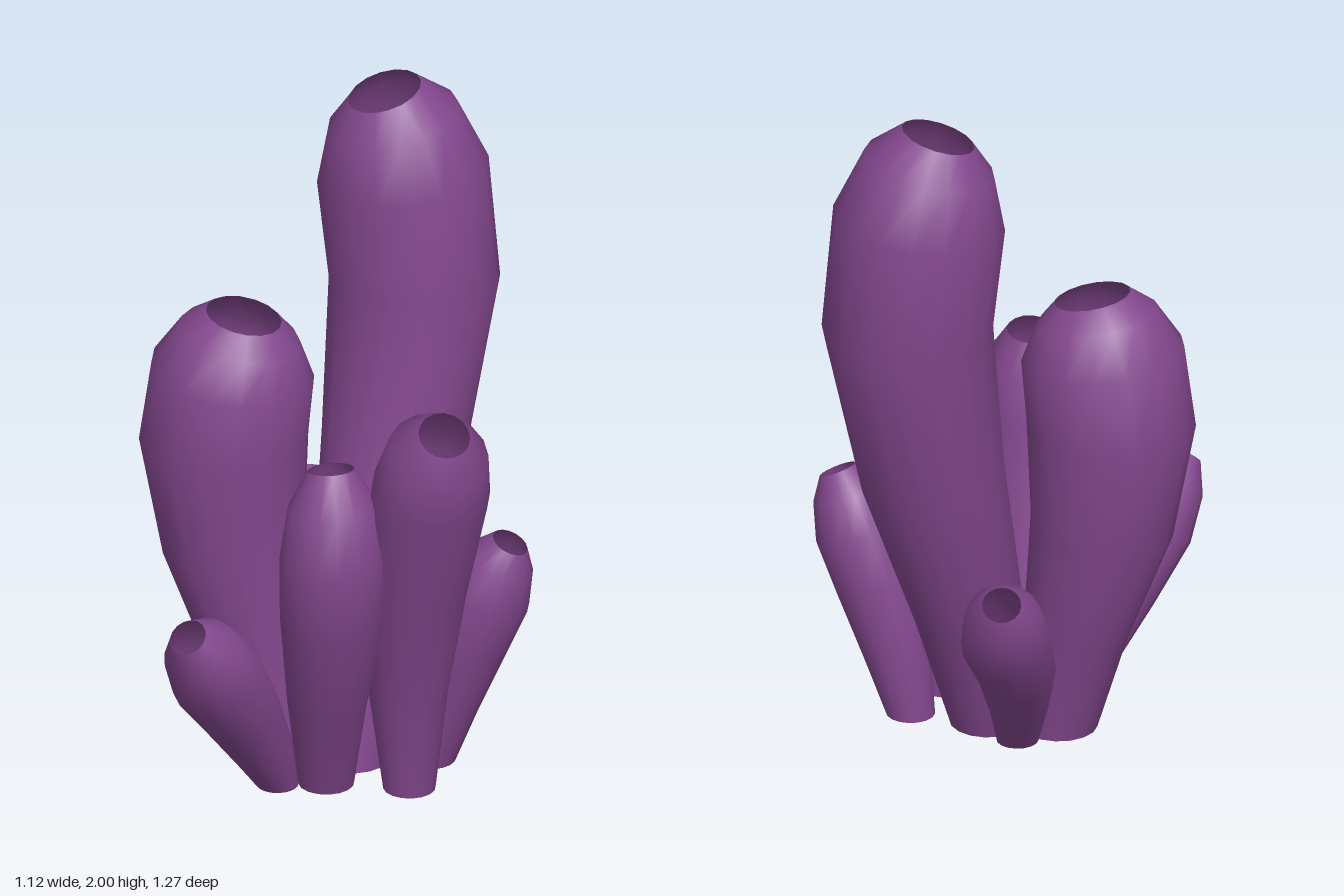
import * as THREE from 'three';

const SIDES = 16;
const material = new THREE.MeshStandardMaterial({ color: 0x84488f, side: THREE.DoubleSide });

// Each tube is a list of rings [x, y, z, radius] from the base to the open mouth.
const TUBES = {
  tallBackTube: [
    [0.04, 0, -0.05, 0.11], [0.05, 0.42, -0.16, 0.16], [0.09, 0.9, -0.305, 0.21],
    [0.125, 1.38, -0.385, 0.245], [0.095, 1.72, -0.37, 0.247], [0.07, 1.89, -0.355, 0.19],
    [0.05, 1.972, -0.34, 0.108],
  ],
  wideRightTube: [
    [-0.15, 0, 0.02, 0.11], [-0.205, 0.32, 0.017, 0.15], [-0.29, 0.67, 0.015, 0.205],
    [-0.32, 1.0, 0.015, 0.242], [-0.293, 1.21, 0.015, 0.235], [-0.272, 1.325, 0.015, 0.175],
    [-0.26, 1.383, 0.015, 0.11],
  ],
  frontTube: [
    [0.02, 0, 0.13, 0.08], [0.045, 0.3, 0.2, 0.115], [0.09, 0.62, 0.3, 0.15],
    [0.1, 0.82, 0.32, 0.155], [0.097, 0.97, 0.312, 0.132], [0.085, 1.078, 0.296, 0.067],
  ],
  frontLeftTube: [
    [0.255, 0, 0.09, 0.075], [0.255, 0.3, 0.1, 0.112], [0.295, 0.7, 0.165, 0.155],
    [0.365, 1.03, 0.24, 0.17], [0.4, 1.17, 0.285, 0.145], [0.432, 1.25, 0.33, 0.075],
  ],
  smallFrontTube: [
    [-0.11, 0, 0.18, 0.06], [-0.13, 0.13, 0.24, 0.085], [-0.17, 0.3, 0.34, 0.115],
    [-0.205, 0.46, 0.46, 0.135], [-0.23, 0.57, 0.54, 0.11], [-0.25, 0.637, 0.595, 0.056],
  ],
  smallLeftTube: [
    [0.26, 0, -0.105, 0.07], [0.305, 0.2, -0.11, 0.098], [0.365, 0.4, -0.11, 0.123],
    [0.425, 0.55, -0.11, 0.128], [0.465, 0.655, -0.108, 0.1], [0.495, 0.717, -0.105, 0.054],
  ],
  smallBackTube: [
    [-0.09, 0, -0.12, 0.06], [-0.13, 0.15, -0.19, 0.085], [-0.18, 0.32, -0.3, 0.113],
    [-0.21, 0.47, -0.42, 0.13], [-0.235, 0.58, -0.49, 0.11], [-0.255, 0.643, -0.535, 0.056],
  ],
};

// Hollow shell through rings set square to the path, with a flat floor
function tubeGeometry(rings) {
  const up = new THREE.Vector3(0, 1, 0);
  const centres = rings.map(([x, y, z]) => new THREE.Vector3(x, y, z));
  const positions = [];
  const index = [];
  const turn = new THREE.Quaternion();
  const point = new THREE.Vector3();

  const addRing = (centre, radius) => {
    for (let i = 0; i < SIDES; i++) {
      const a = (i / SIDES) * Math.PI * 2;
      point.set(Math.cos(a) * radius, 0, Math.sin(a) * radius).applyQuaternion(turn).add(centre);
      positions.push(point.x, point.y, point.z);
    }
  };

  rings.forEach((ring, j) => {
    const before = centres[Math.max(j - 1, 0)];
    const after = centres[Math.min(j + 1, rings.length - 1)];
    const tangent = j === 0 ? up : after.clone().sub(before).normalize();
    turn.setFromUnitVectors(up, tangent);
    addRing(centres[j], ring[3]);
    if (j === 0) return;
    for (let i = 0; i < SIDES; i++) {
      const a = (j - 1) * SIDES + i;
      const b = (j - 1) * SIDES + ((i + 1) % SIDES);
      index.push(a, a + SIDES, b, b, a + SIDES, b + SIDES);
    }
  });

  // Floor has its own vertices so its edge stays sharp
  const floor = positions.length / 3;
  turn.identity();
  addRing(centres[0], rings[0][3]);
  positions.push(...centres[0].toArray());
  for (let i = 0; i < SIDES; i++) index.push(floor + SIDES, floor + i, floor + ((i + 1) % SIDES));

  const geometry = new THREE.BufferGeometry();
  geometry.setAttribute('position', new THREE.Float32BufferAttribute(positions, 3));
  geometry.setIndex(index);
  geometry.computeVertexNormals();
  return geometry;
}

export function createModel() {
  const group = new THREE.Group();
  group.name = 'tubeSponge';
  for (const [name, rings] of Object.entries(TUBES)) {
    const mesh = new THREE.Mesh(tubeGeometry(rings), material);
    mesh.name = name;
    group.add(mesh);
  }
  return group;
}
